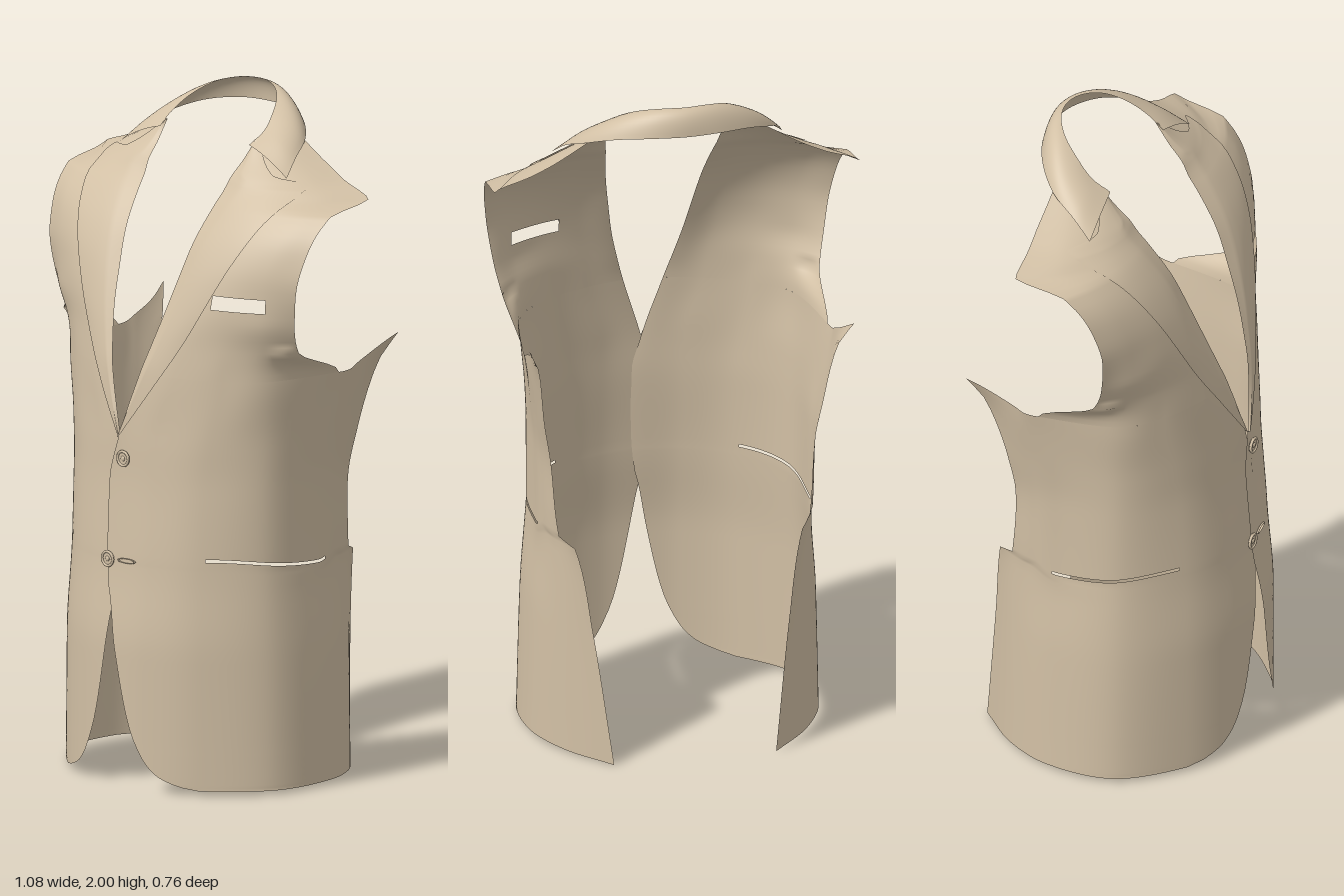
import * as THREE from 'three';

const cloth = new THREE.MeshStandardMaterial({ color: 0xd2c0a5, side: THREE.DoubleSide });
cloth.name = 'beige cloth';

// Horizontal sections: y, then x,z pairs from the front edge round to the back edge.
const lowerSections = [
  [0.01, -0.03, 0.378, 0.12, 0.352, 0.27, 0.272, 0.415, 0.11, 0.43, -0.09, 0.36, -0.25, 0.24, -0.38],
  [0.4, -0.03, 0.378, 0.12, 0.352, 0.27, 0.272, 0.405, 0.11, 0.42, -0.09, 0.37, -0.23, 0.29, -0.33],
  [0.655, -0.03, 0.354, 0.12, 0.33, 0.26, 0.26, 0.388, 0.11, 0.405, -0.08, 0.38, -0.2, 0.335, -0.295],
  [0.675, -0.03, 0.353, 0.12, 0.329, 0.26, 0.259, 0.387, 0.11, 0.405, -0.08, 0.395, -0.17, 0.37, -0.24],
  [0.9, -0.03, 0.337, 0.12, 0.31, 0.26, 0.245, 0.387, 0.11, 0.408, -0.08, 0.405, -0.16, 0.39, -0.22],
  [1.03, 0, 0.33, 0.12, 0.303, 0.27, 0.237, 0.39, 0.11, 0.42, -0.08, 0.422, -0.17, 0.412, -0.235],
  [1.22, 0.058, 0.303, 0.17, 0.275, 0.3, 0.215, 0.405, 0.11, 0.45, -0.12, 0.452, -0.2, 0.44, -0.29],
  [1.31, 0.083, 0.277, 0.18, 0.262, 0.3, 0.214, 0.4, 0.145, 0.468, 0.065, 0.462, -0.21, 0.48, -0.335],
];
const upperSections = [
  [1.4, 0.105, 0.247, 0.2, 0.243, 0.31, 0.212, 0.41, 0.163, 0.487, 0.1],
  [1.5, 0.123, 0.208, 0.21, 0.214, 0.31, 0.198, 0.41, 0.16, 0.503, 0.11],
  [1.6, 0.14, 0.165, 0.23, 0.17, 0.33, 0.16, 0.43, 0.13, 0.518, 0.085],
  [1.71, 0.158, 0.09, 0.25, 0.095, 0.35, 0.08, 0.45, 0.045, 0.535, 0],
  [1.74, 0.163, 0.065, 0.25, 0.065, 0.35, 0.04, 0.45, -0.03, 0.54, -0.15],
  [1.78, 0.17, 0.04, 0.24, 0.033, 0.32, 0, 0.39, -0.06, 0.44, -0.155],
  [1.82, 0.176, 0, 0.22, -0.005, 0.27, -0.03, 0.32, -0.08, 0.36, -0.16],
  [1.88, 0.184, -0.05, 0.2, -0.06, 0.22, -0.09, 0.24, -0.12, 0.26, -0.16],
];

// Monotone cubic through [key, value] pairs
function smoothCurve(pts) {
  const n = pts.length, d = [], m = [];
  for (let i = 0; i < n - 1; i++) d.push((pts[i + 1][1] - pts[i][1]) / (pts[i + 1][0] - pts[i][0]));
  for (let i = 0; i < n; i++) {
    const a = d[Math.max(0, i - 1)], b = d[Math.min(n - 2, i)];
    m.push(a * b <= 0 ? 0 : 2 * a * b / (a + b));
  }
  return x => {
    x = THREE.MathUtils.clamp(x, pts[0][0], pts[n - 1][0]);
    let i = 0;
    while (i < n - 2 && x > pts[i + 1][0]) i++;
    const h = pts[i + 1][0] - pts[i][0], t = (x - pts[i][0]) / h, s = 1 - t;
    return pts[i][1] * s * s * (1 + 2 * t) + pts[i + 1][1] * t * t * (3 - 2 * t)
      + h * t * s * (m[i] * s - m[i + 1] * t);
  };
}

const allSections = [...lowerSections, ...upperSections];
const columns = [];
for (let c = 0; c < 14; c++) {
  const rows = allSections.filter(r => r.length > c + 1);
  columns.push(smoothCurve(rows.map(r => [r[0], r[c + 1]])));
}

// Point of the cloth at height y, u running 0 (front) to 4 (side) to 6 (back)
function body(y, u) {
  const last = y > 1.32 ? 4 : 6;
  const i = Math.min(Math.floor(u), last - 1), t = u - i;
  const get = (k, axis) => columns[2 * THREE.MathUtils.clamp(k, 0, last) + axis](y);
  const spline = axis => {
    const b = get(i, axis), c = get(i + 1, axis);
    const a = i > 0 ? get(i - 1, axis) : 2 * b - c;
    const e = i + 2 <= last ? get(i + 2, axis) : 2 * c - b;
    return b + 0.5 * t * (c - a + t * (2 * a - 5 * b + 4 * c - e + t * (3 * (b - c) + e - a)));
  };
  return [spline(0), y, spline(1)];
}
function uAtX(y, x) {
  let lo = 0, hi = 3.7;
  for (let k = 0; k < 24; k++) {
    const mid = (lo + hi) / 2;
    if (body(y, mid)[0] < x) lo = mid; else hi = mid;
  }
  return lo;
}

// Grid surface from a point rule; skip() leaves openings
function sheet(rows, cols, point, skip = () => false) {
  const pos = [], idx = [], w = cols + 1;
  for (let j = 0; j <= rows; j++) for (let i = 0; i <= cols; i++) pos.push(...point(j, i / cols));
  for (let j = 0; j < rows; j++) for (let i = 0; i < cols; i++) {
    const a = j * w + i, b = a + 1, c = a + w, d = c + 1;
    const mid = [0, 1, 2].map(k => (pos[3 * a + k] + pos[3 * b + k] + pos[3 * c + k] + pos[3 * d + k]) / 4);
    if (!skip(mid, j)) idx.push(a, b, d, a, d, c);
  }
  const g = new THREE.BufferGeometry();
  g.setAttribute('position', new THREE.Float32BufferAttribute(pos, 3));
  g.setIndex(idx);
  g.computeVertexNormals();
  return g;
}
const span = (a, b, n) => Array.from({ length: n }, (_, k) => a + (b - a) * k / n);
const step = THREE.MathUtils.smoothstep;

const frontEdge = smoothCurve([[0.01, 0.28], [0.02, 0.23], [0.05, 0.16], [0.1, 0.115], [0.2, 0.07],
  [0.4, 0.025], [0.54, 0], [0.6, -0.015], [0.7, -0.025], [0.9, -0.03], [1.0, -0.01], [1.03, 0]]);
const lapelEdge = smoothCurve([[1.03, 0.004], [1.17, 0.1], [1.33, 0.2], [1.53, 0.3], [1.66, 0.36],
  [1.775, 0.405], [1.795, 0.3], [1.88, 0.19]]);

function half(side) {
  const group = new THREE.Group();
  const place = p => [side * p[0], p[1], p[2] + side * 0.004];
  const add = (name, g) => {
    const mesh = new THREE.Mesh(g, cloth);
    mesh.name = name;
    group.add(mesh);
  };

  // Lower front and side with hip pocket slit, cutaway hem and back vent
  const low = [...span(0.012, 0.12, 12), ...span(0.12, 0.655, 16), 0.655, 0.665, 0.675, 0.686, ...span(0.694, 1.22, 18), 1.22];
  const slitRow = low.indexOf(0.686);
  add('lowerPanel', sheet(low.length - 1, 64, (j, t) => {
    const y = low[j], u0 = y < 1.03 ? uAtX(y, frontEdge(y)) : 0, u = u0 + (6 - u0) * t;
    const k = Math.max(0, (u - 4) / 2);
    const rise = 0.09 * k * k * step(y, 1, 1.22) - 0.012 * k * (1 - step(y, 0, 0.3));
    const sag = 0.03 * step(u, 2.2, 4) * (1 - step(u, 4, 4.8)) * Math.exp(-(((y - 0.69) / 0.1) ** 2));
    const p = body(y + rise, u);
    p[1] -= sag;
    return place(p);
  }, (m, j) => j === slitRow && Math.abs(m[0]) > 0.27 && m[2] > -0.1));

  // Chest and shoulder, with breast pocket opening on the left
  const high = [...span(1.22, 1.43, 12), ...span(1.43, 1.47, 3), ...span(1.47, 1.7, 10), ...span(1.7, 1.88, 18), 1.88];
  add('chestPanel', sheet(high.length - 1, 60, (j, t) => place(body(high[j], 4 * t)),
    m => side > 0 && m[1] > 1.43 && m[1] < 1.47 && m[0] > 0.27 && m[0] < 0.42));

  // Lapel lying just proud of the chest
  const lap = [...span(1.03, 1.76, 36), ...span(1.76, 1.8, 8), ...span(1.8, 1.88, 6), 1.88];
  add('lapel', sheet(lap.length - 1, 20, (j, t) => {
    const y = lap[j], x0 = body(y, 0)[0], x = x0 + (lapelEdge(y) - x0) * t;
    const p = body(y, uAtX(y, x));
    p[2] += 0.008 * Math.min(1, 4 * t);
    return place(p);
  }));
  return group;
}

// Collar: inner fold, crown and outer edge from the left tip to the centre back
function collar() {
  const inner = [[0.18, 1.865, -0.02], [0.187, 1.9, -0.075], [0.165, 1.945, -0.135], [0.125, 1.978, -0.19], [0.065, 1.996, -0.23], [0, 2, -0.245]];
  const crown = [[0.265, 1.837, -0.012], [0.26, 1.878, -0.07], [0.235, 1.92, -0.145], [0.175, 1.957, -0.207], [0.09, 1.977, -0.256], [0, 1.98, -0.275]];
  const outer = [[0.342, 1.792, -0.01], [0.315, 1.838, -0.075], [0.275, 1.875, -0.155], [0.2, 1.908, -0.225], [0.1, 1.923, -0.274], [0, 1.925, -0.288]];
  const rails = [inner, crown, outer].map(pts => {
    const mirrored = pts.slice(0, -1).reverse().map(([x, y, z]) => [-x, y, z]);
    return new THREE.CatmullRomCurve3([...pts, ...mirrored].map(p => new THREE.Vector3(...p)));
  });
  return new THREE.Mesh(sheet(60, 10, (j, t) => {
    const [a, b, c] = rails.map(r => r.getPoint(j / 60));
    const q = new THREE.Vector3();
    q.addScaledVector(a, (1 - t) * (1 - 2 * t)).addScaledVector(b, 4 * t * (1 - t)).addScaledVector(c, t * (2 * t - 1));
    return q.toArray();
  }), cloth);
}

// Button: disc, raised rim and a small thread knot
function button(x, y, z) {
  const g = new THREE.Group();
  const disc = new THREE.Mesh(new THREE.CylinderGeometry(0.022, 0.022, 0.006, 32), cloth);
  disc.rotation.x = Math.PI / 2;
  const rim = new THREE.Mesh(new THREE.TorusGeometry(0.021, 0.004, 10, 32), cloth);
  rim.position.z = 0.003;
  const knot = new THREE.Mesh(new THREE.SphereGeometry(0.008, 12, 8), cloth);
  knot.scale.z = 0.5;
  knot.position.z = 0.003;
  g.add(disc, rim, knot);
  g.position.set(x, y, z);
  g.name = 'button';
  return g;
}

export function createModel() {
  const model = new THREE.Group();
  model.name = 'sleevelessJacket';
  const left = half(1), right = half(-1);
  left.name = 'leftFront';
  right.name = 'rightFront';
  const neck = collar();
  neck.name = 'collar';
  model.add(left, right, neck, button(0.025, 0.97, 0.339), button(-0.02, 0.67, 0.357));

  // Stitched buttonhole
  const hole = new THREE.Mesh(new THREE.TorusGeometry(0.03, 0.003, 8, 32), cloth);
  hole.scale.y = 0.22;
  hole.rotation.y = 0.12;
  hole.position.set(0.05, 0.672, 0.352);
  hole.name = 'buttonhole';
  model.add(hole);
  return model;
}
